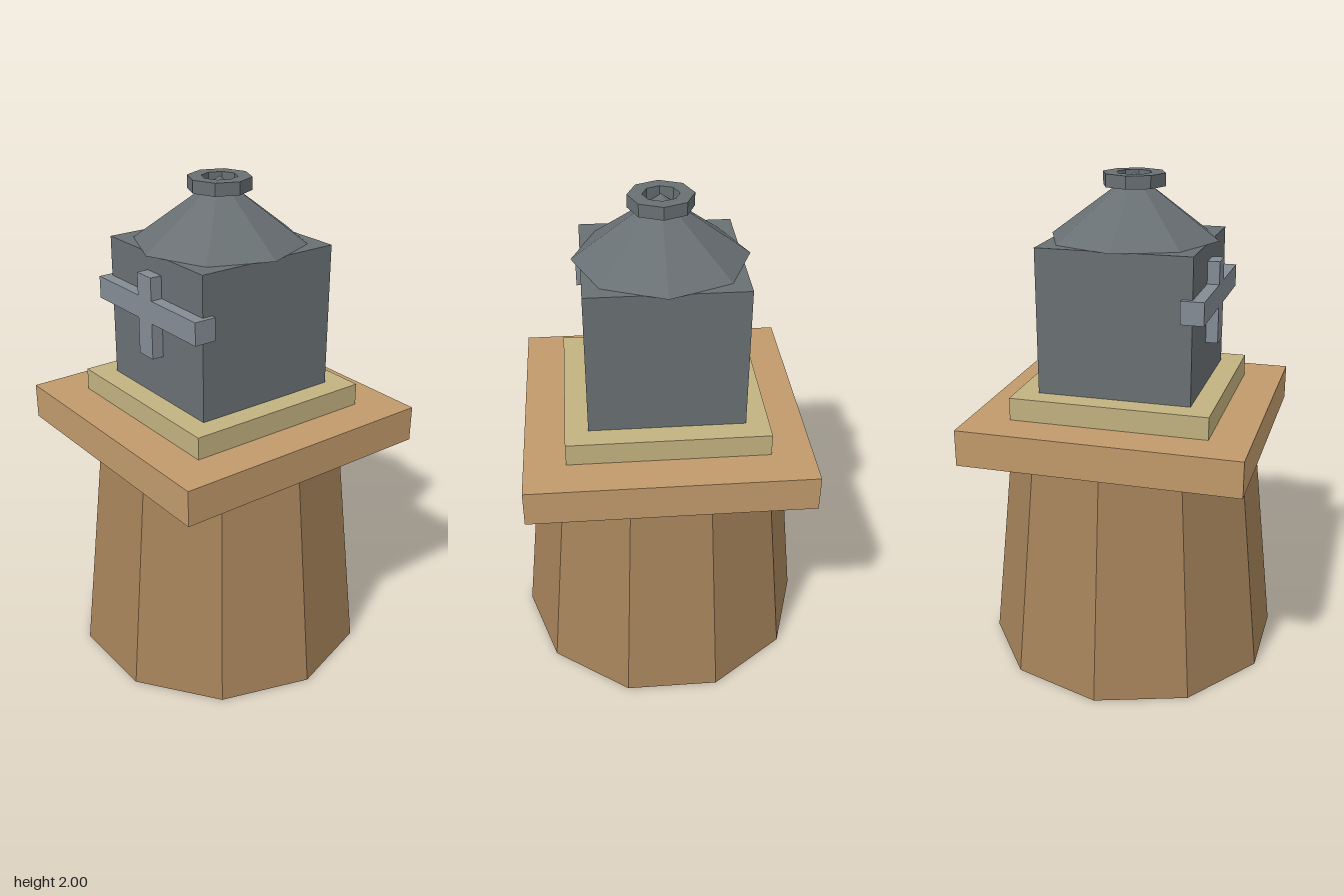
import * as THREE from 'three';

const mat = (color) => new THREE.MeshStandardMaterial({ color, flatShading: true });

export function createModel() {
  const model = new THREE.Group();
  const wood = mat(0xa5825a), plank = mat(0xc19a6b), sand = mat(0xc2b280);
  const iron = mat(0x697073), steel = mat(0x848c94);

  const add = (name, geometry, material, x, y, z) => {
    const mesh = new THREE.Mesh(geometry, material);
    mesh.name = name;
    mesh.position.set(x, y, z);
    model.add(mesh);
    return mesh;
  };
  // Box given by its full width, depth and vertical extent
  const slab = (name, material, w, d, y0, y1, z = 0) =>
    add(name, new THREE.BoxGeometry(w, y1 - y0, d), material, 0, (y0 + y1) / 2, z);

  // Tapered ten-sided pedestal, corners on the x axis
  const pedestal = add('pedestal', new THREE.CylinderGeometry(0.51, 0.61, 0.94, 10), wood, 0, 0.47, 0);
  pedestal.rotation.y = Math.PI / 2;

  // Stacked table top and plinth
  slab('tableTop', plank, 1.116, 1.116, 0.94, 1.085);
  slab('plinth', sand, 0.79, 0.79, 1.085, 1.175);

  // Lantern body with a cross on its front
  slab('body', iron, 0.61, 0.61, 1.175, 1.75);
  slab('crossBar', steel, 0.65, 0.09, 1.5, 1.59, 0.308);
  slab('crossUpright', steel, 0.09, 0.09, 1.355, 1.68, 0.308);

  // Eight-sided roof
  add('roof', new THREE.ConeGeometry(0.34, 0.25, 8), iron, 0, 1.875, 0);

  // Open ring around the roof tip
  const ring = [[0.07, 0], [0.125, 0], [0.125, 0.05], [0.07, 0.05], [0.07, 0]]
    .map(([r, y]) => new THREE.Vector2(r, y));
  add('topRing', new THREE.LatheGeometry(ring, 8), iron, 0, 1.95, 0);

  return model;
}
